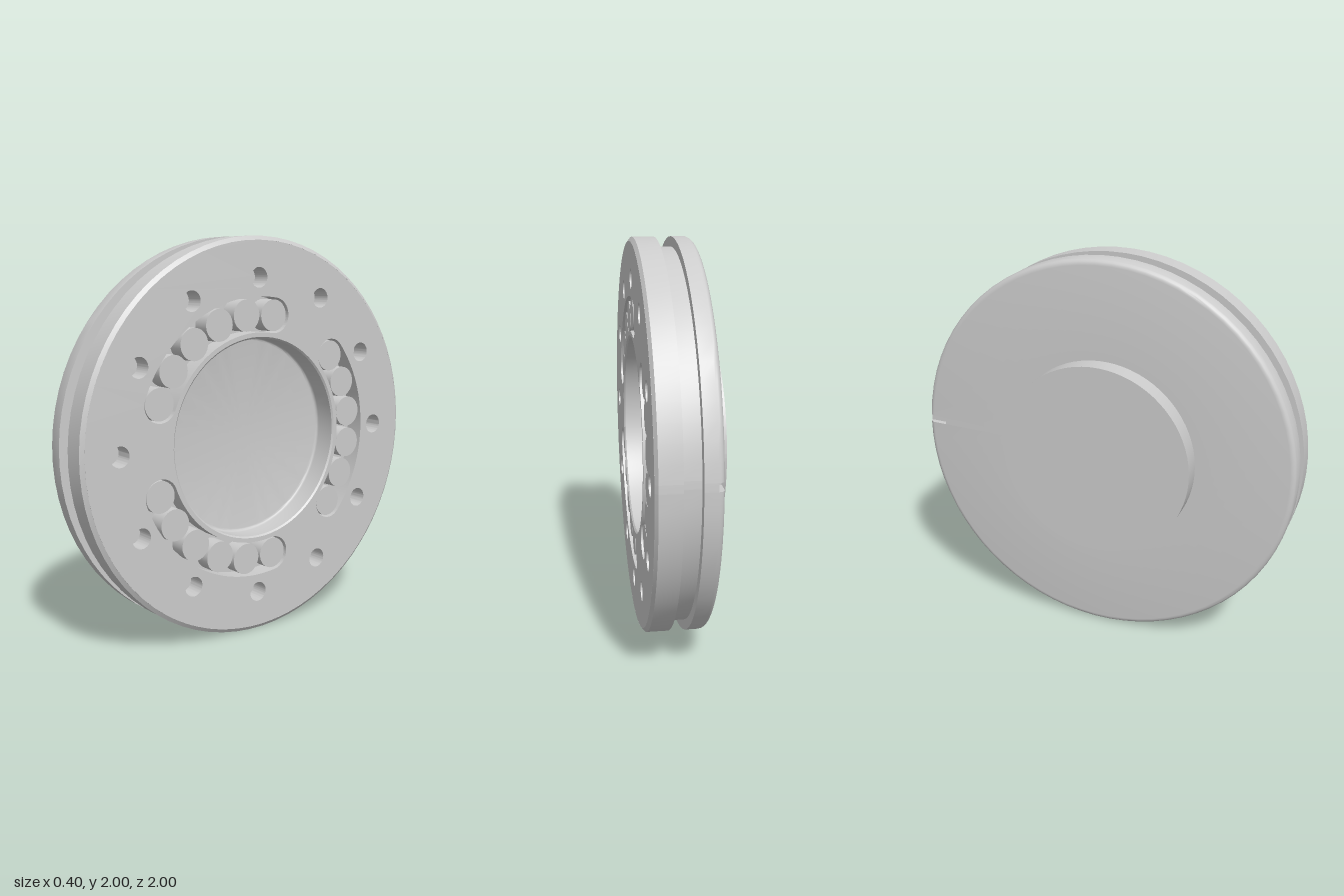
import * as THREE from 'three';
import { toCreasedNormals } from 'three/addons/utils/BufferGeometryUtils.js';

const FACE_X = 0.2, FLOOR_X = 0.1;   // front face and slot floor along the disc axis
const BORE_X = 0.075;                // floor of the central bore
const SEG = 72;

export function createModel() {
  const steel = new THREE.MeshStandardMaterial({ color: 0xcccccc, side: THREE.DoubleSide });
  steel.name = 'steelGrey';
  const root = new THREE.Group();
  root.name = 'disc';
  const disc = new THREE.Group();
  disc.name = 'discBody';
  disc.position.y = 1;
  root.add(disc);

  const add = (name, geometry) => {
    const mesh = new THREE.Mesh(geometry, steel);
    mesh.name = name;
    disc.add(mesh);
    return mesh;
  };
  // profile of [radius, axial position], turned around the x axis
  const turn = (profile, start = 0, length = Math.PI * 2, segments = SEG) =>
    toCreasedNormals(
      new THREE.LatheGeometry(profile.map(([r, x]) => new THREE.Vector2(r, x)), segments, start, length)
        .rotateZ(-Math.PI / 2), 0.5);

  // rounded rear rim, then square groove and chamfered front rim
  const roundRim = [];
  for (let i = 0; i <= 5; i++) {
    const a = (i / 5) * Math.PI / 2;
    roundRim.push([0.97 + 0.03 * Math.sin(a), -0.07 - 0.03 * Math.cos(a)]);
  }
  const boss = [[0, -0.2], [0.5, -0.2], [0.5, -0.1]];
  const rims = [
    [1, -0.008], [0.95, -0.008], [0.95, 0.078], [1, 0.078], [1, 0.185], [0.98, FACE_X],
  ];

  // body of revolution, leaving a narrow sector for the rear rim notch
  const notchMid = Math.PI + 0.05, notchHalf = 0.02, notchR = 0.9, notchX = -0.072;
  add('body', turn([...boss, ...roundRim, ...rims], notchMid + notchHalf, Math.PI * 2 - 2 * notchHalf));
  add('notchSector', turn([...boss, [notchR, -0.1], [notchR, notchX], [1, notchX], ...rims],
    notchMid - notchHalf, 2 * notchHalf, 2));
  const wall = new THREE.Shape(
    [[notchR, -0.1], ...roundRim, [notchR, notchX]].map(([r, x]) => new THREE.Vector2(r, x)));
  for (const side of [-1, 1]) {
    add('notchWall', new THREE.ShapeGeometry(wall)
      .rotateY(notchMid + side * notchHalf - Math.PI / 2).rotateZ(-Math.PI / 2));
  }

  // front plate with bore, bolt holes and three curved slots
  const circle = (x, y, r) => new THREE.Path().absarc(x, y, r, 0, Math.PI * 2, true);
  const plate = new THREE.Shape().absarc(0, 0, 0.98, 0, Math.PI * 2, false);
  plate.holes.push(circle(0, 0, 0.51));
  for (let i = 0; i < 12; i++) {
    const a = i * Math.PI / 6;
    plate.holes.push(circle(0.8 * Math.cos(a), 0.8 * Math.sin(a), 0.05));
  }
  const R = 0.62, half = 0.684, slotR = 0.088, pinR = 0.079;
  for (let s = 0; s < 3; s++) {
    const mid = s * Math.PI * 2 / 3, a0 = mid - half, a1 = mid + half;
    const slot = new THREE.Path();
    slot.absarc(0, 0, R + slotR, a0, a1, false);
    slot.absarc(R * Math.cos(a1), R * Math.sin(a1), slotR, a1, a1 + Math.PI, false);
    slot.absarc(0, 0, R - slotR, a1, a0, true);
    slot.absarc(R * Math.cos(a0), R * Math.sin(a0), slotR, a0 + Math.PI, a0 + Math.PI * 2, false);
    plate.holes.push(slot);

    // row of six round pins, just below the face
    for (let i = 0; i < 6; i++) {
      const a = a0 + (i / 5) * 2 * half;
      const depth = FACE_X - 0.01 - FLOOR_X;
      add('pin', new THREE.CylinderGeometry(pinR, pinR, depth, 32).rotateZ(-Math.PI / 2))
        .position.set(FLOOR_X + depth / 2, R * Math.sin(a), -R * Math.cos(a));
    }
  }
  const plateGeo = new THREE.ExtrudeGeometry(plate, {
    depth: FACE_X - FLOOR_X, bevelEnabled: false, curveSegments: 36,
  });
  add('frontPlate', toCreasedNormals(plateGeo.rotateY(Math.PI / 2), 0.5)).position.x = FLOOR_X;

  // floor of slots and bolt holes
  add('pocketFloor', new THREE.RingGeometry(0.51, 0.97, SEG).rotateY(Math.PI / 2)).position.x = FLOOR_X + 0.001;

  // bore with chamfered mouth and a filleted corner at its floor
  const bore = [[0.51, FACE_X], [0.502, 0.192]];
  const fillet = 0.015;
  for (let i = 0; i <= 4; i++) {
    const a = (i / 4) * Math.PI / 2;
    bore.push([0.502 - fillet * (1 - Math.cos(a)), BORE_X + fillet * (1 - Math.sin(a))]);
  }
  add('bore', turn([...bore, [0, BORE_X]]));

  return root;
}
